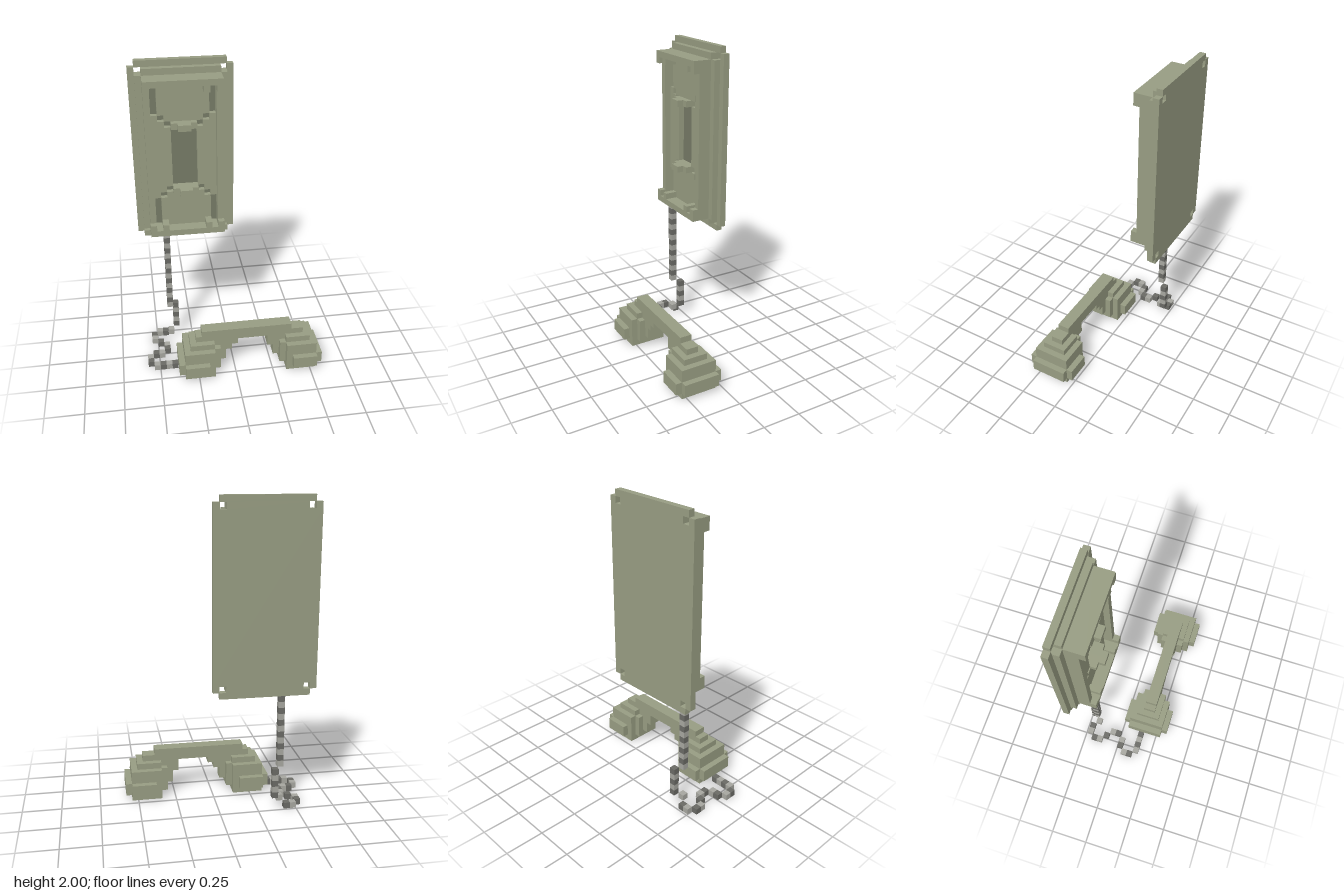
import * as THREE from 'three';

const mat = (color) => new THREE.MeshStandardMaterial({ color, flatShading: true });

export function createModel() {
  const model = new THREE.Group();
  const olive = mat(0x979c82);
  const shade = mat(0x767a66);
  const cordLight = mat(0xa6a69f);
  const cordDark = mat(0x6a6a65);

  const group = (name) => {
    const g = new THREE.Group();
    g.name = name;
    model.add(g);
    return g;
  };
  // box given by its lower and upper limits on each axis
  const box = (parent, name, x0, x1, y0, y1, z0, z1, material = olive) => {
    const m = new THREE.Mesh(new THREE.BoxGeometry(x1 - x0, y1 - y0, z1 - z0), material);
    m.position.set((x0 + x1) / 2, (y0 + y1) / 2, (z0 + z1) / 2);
    m.name = name;
    parent.add(m);
  };

  // Wall unit, symmetric about its own centre
  const CX = -0.26, CY = 1.4;
  const wall = group('wallUnit');
  // the same box mirrored left/right and up/down
  const quad = (name, u0, u1, v0, v1, z0, z1) => {
    for (const sx of [-1, 1]) for (const sy of [-1, 1]) {
      const x = [CX + sx * u0, CX + sx * u1].sort((a, b) => a - b);
      const y = [CY + sy * v0, CY + sy * v1].sort((a, b) => a - b);
      box(wall, name, x[0], x[1], y[0], y[1], z0, z1);
    }
  };
  const centred = (name, u, v, z0, z1, material) =>
    box(wall, name, CX - u, CX + u, CY - v, CY + v, z0, z1, material);

  // back plate with small open corners
  centred('backPlate', 0.32, 0.52, -0.32, -0.28);
  for (const s of [-1, 1]) {
    const y = CY + s * 0.54, yo = CY + s * 0.58;
    box(wall, 'backPlateStrip', CX - 0.24, CX + 0.24, y - 0.02, y + 0.02, -0.32, -0.28);
    box(wall, 'backPlateEdge', CX - 0.28, CX + 0.28, yo - 0.02, yo + 0.02, -0.32, -0.28);
  }
  quad('backPlateCorner', 0.28, 0.32, 0.52, 0.56, -0.32, -0.28);

  // middle step, corners cut out
  centred('middleStep', 0.28, 0.52, -0.28, -0.24);
  centred('middleStepTall', 0.24, 0.56, -0.28, -0.24);

  // raised frame, its top and bottom bars standing further out
  for (const s of [-1, 1]) {
    const x = CX + s * 0.22, y = CY + s * 0.5;
    box(wall, 'frameSide', x - 0.02, x + 0.02, CY - 0.48, CY + 0.48, -0.24, -0.16);
    box(wall, 'frameBar', CX - 0.24, CX + 0.24, y - 0.02, y + 0.02, -0.24, -0.12);
  }
  quad('cornerPeg', 0.20, 0.24, 0.44, 0.48, -0.16, -0.12);
  quad('innerPeg', 0.12, 0.16, 0.44, 0.48, -0.20, -0.12);

  // recessed face: the shaded inlay shows through the handset outline
  centred('inlay', 0.20, 0.48, -0.24, -0.235, shade);
  [
    [0.08, 0.20, 0, 0.20],
    [0, 0.08, 0.20, 0.24], [0.12, 0.20, 0.20, 0.24],
    [0, 0.12, 0.24, 0.28], [0.16, 0.20, 0.24, 0.28],
    [0, 0.16, 0.28, 0.48],
  ].forEach((f) => quad('facePanel', ...f, -0.24, -0.20));

  // cradle ledges
  quad('cradleLedge', 0, 0.08, 0.20, 0.24, -0.20, -0.16);
  quad('cradleTip', 0, 0.04, 0.20, 0.24, -0.16, -0.12);

  // Handset: handle rows [x0, x1, y0, y1]
  const handset = group('handset');
  [
    [-0.22, 0.38, 0.28, 0.32], [-0.26, 0.46, 0.24, 0.28],
    [-0.30, 0.02, 0.20, 0.24], [0.22, 0.50, 0.20, 0.24],
    [-0.30, -0.02, 0.16, 0.20], [0.22, 0.50, 0.16, 0.20],
    [-0.30, -0.06, 0.08, 0.16], [0.26, 0.50, 0.08, 0.16],
  ].forEach((r) => box(handset, 'handle', ...r, 0.12, 0.20));

  // two mirrored cups: [inner, outer] distance from the handset centre, then y and z
  const cupParts = [
    [0.24, 0.44, 0, 0.20, 0.04, 0.28],
    [0.24, 0.48, 0.04, 0.12, 0.04, 0.28],
    [0.28, 0.44, 0.04, 0.12, 0, 0.32],
    [0.24, 0.40, 0.04, 0.24, 0.08, 0.24],
    [0.20, 0.24, 0.04, 0.20, 0.08, 0.24],
  ];
  for (const s of [-1, 1]) for (const [a, b, ...rest] of cupParts) {
    const x = [0.10 + s * a, 0.10 + s * b].sort((p, q) => p - q);
    box(handset, 'handsetCup', x[0], x[1], ...rest);
  }

  // Cord: a chain of cubes in alternating greys
  const cord = group('cord');
  const path = [];
  for (let i = 0; i < 15; i++) path.push([-0.42, 0.84 - i * 0.04, -0.20]);
  for (let i = 0; i < 5; i++) path.push([-0.38, 0.24 - i * 0.04, -0.24]);
  path.push([-0.42, 0.04, -0.20]);
  [
    [-0.46, -0.24], [-0.50, -0.24], [-0.54, -0.20], [-0.54, -0.16], [-0.50, -0.12],
    [-0.46, -0.08], [-0.46, -0.04], [-0.50, 0], [-0.54, 0], [-0.58, 0.04], [-0.58, 0.08],
    [-0.54, 0.12], [-0.50, 0.12], [-0.46, 0.12], [-0.42, 0.12],
  ].forEach(([x, z]) => path.push([x, 0, z]));
  path.forEach(([x, y, z], i) =>
    box(cord, 'cordLink', x, x + 0.04, y, y + 0.04, z, z + 0.04, i % 2 ? cordDark : cordLight));

  return model;
}
